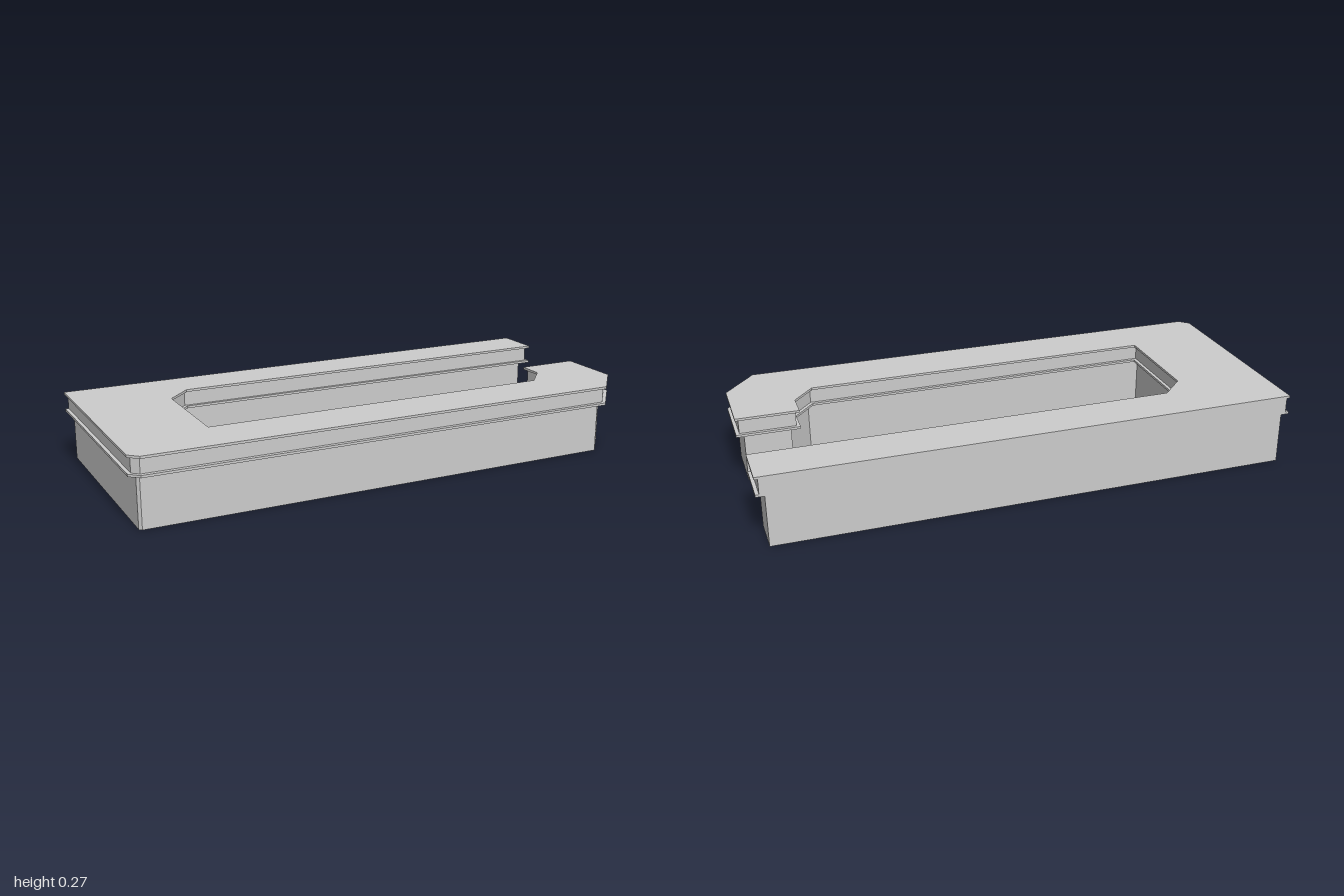
import * as THREE from 'three';

// Plan outline of the counter as [x, z, inset weight of the edge starting here]
const OUTLINE = [
  [-1, -0.43, 0], // flush back wall
  [1, -0.43, 1],
  [1, -0.255, 1],
  [-0.575, -0.255, 1],
  [-0.665, -0.165, 1],
  [-0.665, 0.228, 1],
  [0.685, 0.228, 1],
  [0.765, 0.137, 1],
  [0.765, 0.04, 1],
  [1, 0.04, 1],
  [1, 0.288, 1],
  [0.88, 0.43, 1.2],
  [-0.965, 0.423, 1],
  [-1, 0.39, 1],
];

// Move every edge inward by its weighted inset and intersect neighbours
function insetOutline(inset) {
  const n = OUTLINE.length;
  const lines = OUTLINE.map(([x, z, w], i) => {
    const [x2, z2] = OUTLINE[(i + 1) % n];
    const len = Math.hypot(x2 - x, z2 - z);
    const dx = (x2 - x) / len, dz = (z2 - z) / len;
    return { x: x - dz * inset * w, z: z + dx * inset * w, dx, dz };
  });
  return lines.map((b, i) => {
    const a = lines[(i + n - 1) % n];
    const t = ((b.x - a.x) * b.dz - (b.z - a.z) * b.dx) / (a.dx * b.dz - a.dz * b.dx);
    return new THREE.Vector2(a.x + a.dx * t, -(a.z + a.dz * t));
  });
}

export function createModel() {
  const group = new THREE.Group();
  group.name = 'counter';
  const material = new THREE.MeshStandardMaterial({ color: 0xcccccc, flatShading: true });

  // Stacked layers: name, bottom, top, inset
  const layers = [
    ['counterBase', 0, 0.193, 0.031],
    ['lowerLip', 0.193, 0.202, 0],
    ['edgeBand', 0.202, 0.258, 0.013],
    ['counterTop', 0.258, 0.267, 0],
  ];
  for (const [name, bottom, top, inset] of layers) {
    const geometry = new THREE.ExtrudeGeometry(new THREE.Shape(insetOutline(inset)), {
      depth: top - bottom,
      bevelEnabled: false,
    });
    geometry.rotateX(-Math.PI / 2);
    const mesh = new THREE.Mesh(geometry, material);
    mesh.name = name;
    mesh.position.y = bottom;
    group.add(mesh);
  }
  return group;
}
